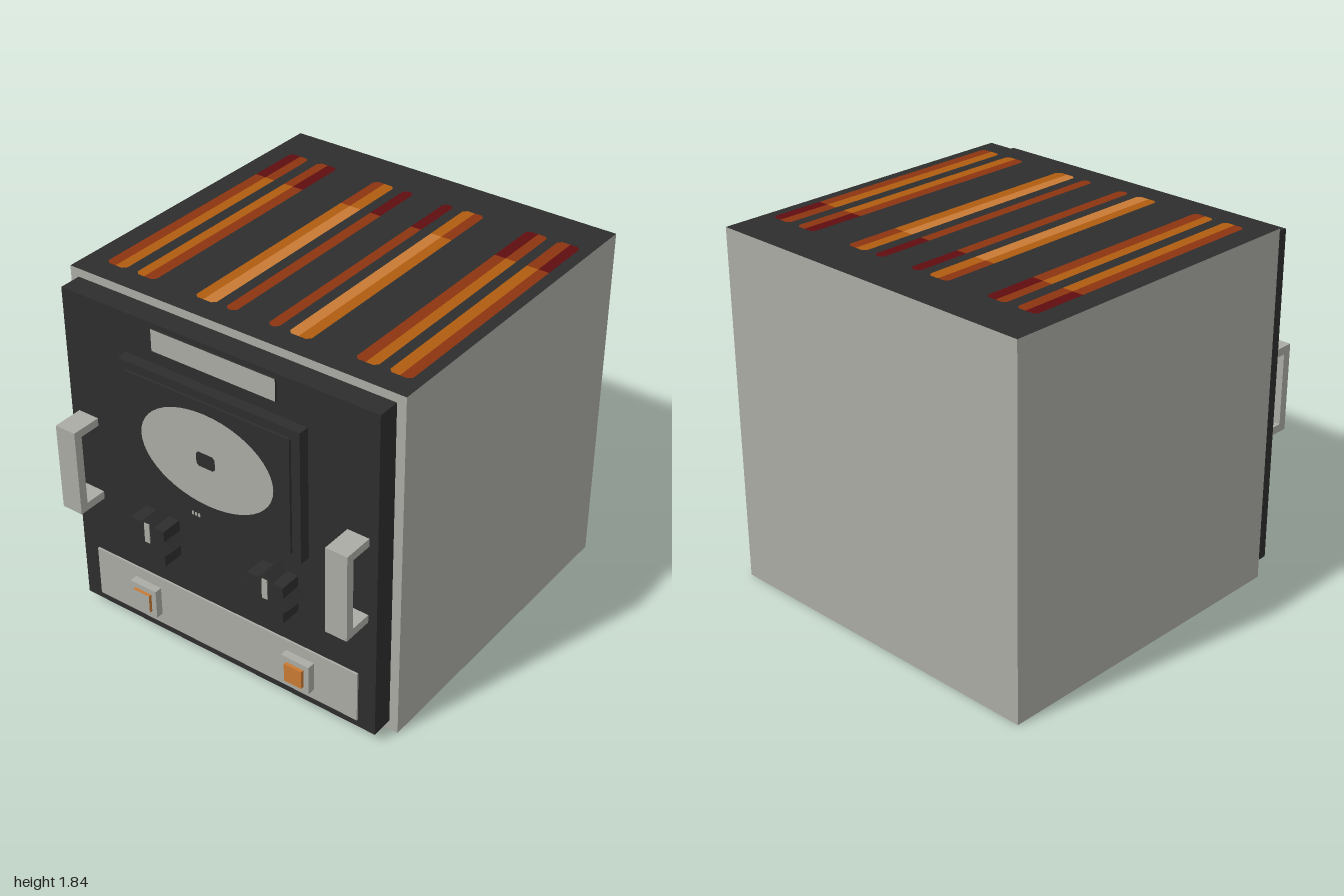
import * as THREE from 'three';

const mat = (name, color) => {
  const m = new THREE.MeshStandardMaterial({ color });
  m.name = name;
  return m;
};

export function createModel() {
  const grey = mat('caseGrey', 0xaaaba5);
  const dark = mat('panelBlack', 0x2d2d2d);
  const deepRed = mat('deepRed', 0x600d10);
  const rust = mat('rust', 0x8c3410);
  const amber = mat('amber', 0xb05c10);
  const orange = mat('orange', 0xc87a34);

  const model = new THREE.Group();
  model.name = 'heater';

  const add = (name, geometry, material, parent = model) => {
    const mesh = new THREE.Mesh(geometry, material);
    mesh.name = name;
    parent.add(mesh);
    return mesh;
  };
  // Box given by its extents; an optional front material colours the +z face
  const box = (name, x0, x1, y0, y1, z0, z1, material, front, parent) => {
    const sides = front ? [material, material, material, material, front, material] : material;
    const mesh = add(name, new THREE.BoxGeometry(x1 - x0, y1 - y0, z1 - z0), sides, parent);
    mesh.position.set((x0 + x1) / 2, (y0 + y1) / 2, (z0 + z1) / 2);
    return mesh;
  };

  // Case with a black top
  const body = box('case', -0.92, 0.92, 0, 1.84, -1, 0.725, grey);
  body.material = [grey, grey, dark, grey, grey, grey];

  // Front panel and plates
  box('frontPanel', -0.873, 0.873, 0.05, 1.797, 0.72, 0.84, dark);
  box('namePlate', -0.342, 0.342, 1.66, 1.772, 0.835, 0.85, dark, grey);
  box('switchPlate', -0.778, 0.778, 0.093, 0.37, 0.835, 0.85, grey);

  // Dial window
  box('dialFrame', -0.505, 0.505, 0.9, 1.59, 0.83, 0.897, dark);
  box('dialFace', -0.458, 0.458, 0.943, 1.547, 0.89, 0.91, dark);
  const ellipse = new THREE.Shape().absellipse(0, 0, 0.374, 0.245, 0, Math.PI * 2);
  const disc = add('dialDisc', new THREE.ShapeGeometry(ellipse, 24), grey);
  disc.position.set(-0.002, 1.248, 0.913);
  const hubShape = new THREE.Shape([
    [-0.053, -0.025], [-0.04, -0.038], [0.04, -0.038], [0.053, -0.025],
    [0.053, 0.025], [0.04, 0.038], [-0.04, 0.038], [-0.053, 0.025],
  ].map(([x, y]) => new THREE.Vector2(x, y)));
  const hub = add('dialHub', new THREE.ShapeGeometry(hubShape), dark);
  hub.position.set(-0.002, 1.247, 0.916);
  for (let i = 0; i < 3; i++) {
    const x = -0.105 + i * 0.018;
    box('frameMark', x - 0.005, x + 0.005, 0.904, 0.922, 0.895, 0.9, grey);
  }

  // Eight-pointed knobs: two crossed squares as one star outline
  const star = new THREE.Shape();
  for (let i = 0; i < 16; i++) {
    const r = i % 2 ? 0.1 / Math.cos(Math.PI / 8) : 0.1414;
    const a = (i * Math.PI) / 8;
    const [x, y] = [r * Math.cos(a), r * Math.sin(a)];
    i ? star.lineTo(x, y) : star.moveTo(x, y);
  }
  const knobGeometry = new THREE.ExtrudeGeometry(star, { depth: 0.117, bevelEnabled: false });

  for (const s of [-1, 1]) {
    const knob = new THREE.Group();
    knob.name = s > 0 ? 'leftKnob' : 'rightKnob';
    model.add(knob);
    const x = s * 0.344;
    add('knobStar', knobGeometry, dark, knob).position.set(x, 0.67, 0.835);
    box('knobPointer', x - 0.015, x + 0.015, 0.668, 0.775, 0.945, 0.957, grey, null, knob);

    // Bracket handles
    const handle = new THREE.Group();
    handle.name = s > 0 ? 'leftHandle' : 'rightHandle';
    model.add(handle);
    const [h0, h1] = s > 0 ? [0.712, 0.827] : [-0.829, -0.714];
    box('handleGrip', h0, h1, 0.692, 1.152, 0.955, 1, grey, null, handle);
    box('handleTop', h0, h1, 1.11, 1.152, 0.835, 0.955, grey, null, handle);
    box('handleBottom', h0, h1, 0.692, 0.734, 0.835, 0.955, grey, null, handle);

    // Push buttons
    const b = s * 0.457;
    box('buttonHousing', b - 0.079, b + 0.079, 0.152, 0.31, 0.845, 0.89, grey);
    box('buttonCap', b - 0.05, b + 0.05, 0.181, 0.281, 0.885, 0.908, orange, s < 0 ? grey : orange);
  }

  // Glowing slots on the top: each half has a short rear and a long front colour
  const patch = (x0, x1, z0, z1, cutLeft, cutRight, rear, material) => {
    const c = 0.018;
    const far = rear ? z0 : z1; // the end with clipped corners
    const near = rear ? z1 : z0;
    const inset = rear ? far + c : far - c;
    const pts = [[x0, near]];
    cutLeft ? pts.push([x0, inset], [x0 + c, far]) : pts.push([x0, far]);
    cutRight ? pts.push([x1 - c, far], [x1, inset]) : pts.push([x1, far]);
    pts.push([x1, near]);
    const geometry = new THREE.ShapeGeometry(
      new THREE.Shape(pts.map(([x, z]) => new THREE.Vector2(x, -z))));
    geometry.rotateX(-Math.PI / 2);
    add('heatSlot', geometry, material).position.y = 1.844;
  };
  const [back, split, front] = [-0.775, -0.488, 0.61];
  const slots = [ // x0, middle, x1, then rear-left, rear-right, front-left, front-right
    [-0.808, -0.75, -0.694, deepRed, rust, rust, amber],
    [-0.633, -0.58, -0.52, rust, deepRed, amber, rust],
    [-0.291, -0.238, -0.175, rust, amber, amber, orange],
    [0.227, 0.285, 0.342, amber, rust, orange, amber],
    [0.576, 0.634, 0.69, deepRed, rust, rust, amber],
    [0.746, 0.806, 0.862, rust, deepRed, amber, rust],
  ];
  for (const [x0, xm, x1, rl, rr, fl, fr] of slots) {
    patch(x0, xm, back, split, true, false, true, rl);
    patch(xm, x1, back, split, false, true, true, rr);
    patch(x0, xm, split, front, true, false, false, fl);
    patch(xm, x1, split, front, false, true, false, fr);
  }
  for (const [x0, x1] of [[-0.119, -0.06], [0.114, 0.17]]) {
    patch(x0, x1, back, split, true, true, true, deepRed);
    patch(x0, x1, split, front, true, true, false, rust);
  }

  return model;
}
